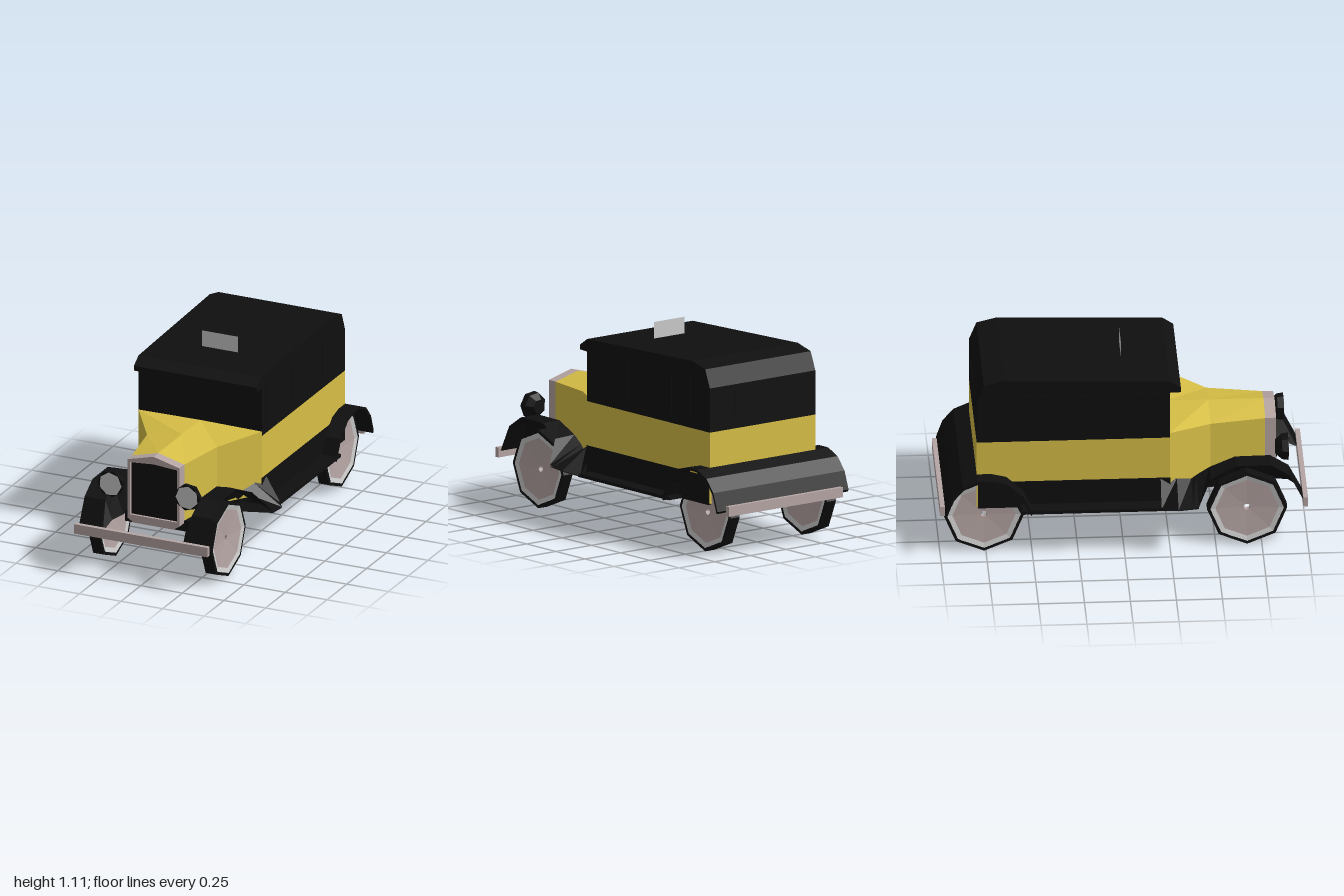
import * as THREE from 'three';

const paint = (color) => new THREE.MeshStandardMaterial({ color, flatShading: true, side: THREE.DoubleSide });
const yellow = paint(0xd6be46), black = paint(0x0f0f0f), metal = paint(0xb5a5a3), grey = paint(0xcccccc);

// Flat panels strung between cross-sections that share a point count
function loft(sections) {
  const pos = [];
  for (let i = 0; i < sections.length - 1; i++) {
    const a = sections[i], b = sections[i + 1];
    for (let j = 0; j < a.length - 1; j++) {
      pos.push(...a[j], ...b[j], ...b[j + 1], ...a[j], ...b[j + 1], ...a[j + 1]);
    }
  }
  const g = new THREE.BufferGeometry();
  g.setAttribute('position', new THREE.Float32BufferAttribute(pos, 3));
  g.computeVertexNormals();
  return g;
}

// Side profile given as [z, y], extruded across the full width
function crossExtrude(points, halfWidth) {
  const shape = new THREE.Shape(points.map(([z, y]) => new THREE.Vector2(-z, y)));
  const g = new THREE.ExtrudeGeometry(shape, { depth: halfWidth * 2, bevelEnabled: false });
  return g.translate(0, 0, -halfWidth).rotateY(Math.PI / 2);
}

export function createModel() {
  const car = new THREE.Group();
  car.name = 'vintageCar';
  const add = (name, geometry, material, parent = car) => {
    const m = new THREE.Mesh(geometry, material);
    m.name = name;
    parent.add(m);
    return m;
  };
  // Box from its minimum and maximum corners
  const box = (name, material, [x0, y0, z0], [x1, y1, z1]) =>
    add(name, new THREE.BoxGeometry(x1 - x0, y1 - y0, z1 - z0), material)
      .position.set((x0 + x1) / 2, (y0 + y1) / 2, (z0 + z1) / 2);

  // Body tub, lower sills and floor
  box('bodyTub', yellow, [-0.37, 0.27, -0.8], [0.37, 0.665, 0.25]);
  box('sills', black, [-0.373, 0.262, -0.792], [0.373, 0.42, 0.252]);
  box('runningBoards', black, [-0.46, 0.262, -0.56], [0.46, 0.28, 0.22]);
  box('frontChassis', black, [-0.2, 0.265, 0.24], [0.2, 0.328, 0.78]);

  // Cabin top with sloped roof, rounded tail and short visor
  add('cabin', crossExtrude([[0.25, 0.665], [0.25, 0.94], [0.31, 0.942], [0.31, 0.97], [0.25, 1.01],
    [-0.65, 1.038], [-0.76, 1.01], [-0.8, 0.91], [-0.8, 0.665]], 0.37), black);
  for (const s of [-1, 1]) {
    for (const [z0, z1] of [[-0.1, 0.2], [-0.47, -0.14], [-0.64, -0.51]]) {
      const x = s * 0.371;
      box('sideWindow', black, [x - 0.002, 0.72, z0], [x + 0.002, 0.94, z1]);
    }
  }
  box('rearWindow', black, [-0.2, 0.74, -0.803], [0.2, 0.87, -0.799]);

  // Cowl and hood: ridge along the middle, tapering to the radiator
  add('hood', loft([[0.25, 0.37, 0.692], [0.48, 0.21, 0.657], [0.78, 0.157, 0.655]].map(([z, w, y]) =>
    [[-w, 0.325, z], [-w, y, z], [0, 0.696, z], [w, y, z], [w, 0.325, z]])), yellow);

  // Radiator shell and grille
  const shape = (pts) => pts.map(([x, y]) => new THREE.Vector2(x, y));
  const shell = new THREE.Shape(shape([[-0.12, 0.29], [0.12, 0.29], [0.155, 0.312], [0.155, 0.655],
    [0, 0.696], [-0.155, 0.655], [-0.155, 0.312]]));
  const opening = shape([[-0.14, 0.335], [-0.14, 0.64], [0, 0.651], [0.14, 0.64], [0.14, 0.335]]);
  shell.holes.push(new THREE.Path(opening));
  add('radiatorShell', new THREE.ExtrudeGeometry(shell, { depth: 0.07, bevelEnabled: false }), metal).position.z = 0.77;
  add('grille', new THREE.ShapeGeometry(new THREE.Shape(opening)), black).position.z = 0.825;

  // Front fenders: inner skirt, top inner edge, top outer edge at each station
  const fender = [
    [0.975, [0.24, 0.265], [0.25, 0.268], [0.385, 0.268]],
    [0.9, [0.22, 0.31], [0.26, 0.42], [0.385, 0.42]],
    [0.8, [0.2, 0.31], [0.265, 0.485], [0.385, 0.485]],
    [0.61, [0.2, 0.31], [0.27, 0.485], [0.385, 0.485]],
    [0.47, [0.21, 0.31], [0.28, 0.43], [0.415, 0.425]],
    [0.4, [0.25, 0.3], [0.29, 0.39], [0.51, 0.305]],
    [0.37, [0.28, 0.3], [0.3, 0.372], [0.51, 0.3]],
    [0.29, [0.33, 0.3], [0.345, 0.4], [0.51, 0.29]],
    [0.2, [0.37, 0.3], [0.37, 0.42], [0.46, 0.27]],
  ];
  for (const s of [-1, 1]) {
    add('frontFender', loft(fender.map(([z, ...pts]) => pts.map(([x, y]) => [s * x, y, z]))), black);
    // Flat underside of the flare, joining it to the running board
    add('fenderFoot', loft([
      [[s * 0.2, 0.27, 0.44], [s * 0.51, 0.295, 0.4]],
      [[s * 0.2, 0.265, 0.29], [s * 0.51, 0.285, 0.29]],
      [[s * 0.2, 0.263, 0.2], [s * 0.46, 0.265, 0.2]],
    ]), black);
  }

  // Rear fender sheet: arches over both wheels and sweeps down behind the body
  const arch = [[-0.5, 0.265], [-0.55, 0.37], [-0.64, 0.45], [-0.72, 0.47], [-0.8, 0.47],
    [-0.88, 0.435], [-0.94, 0.365], [-0.975, 0.265]];
  const inner = arch.map(([z, y]) => [z + (z < -0.76 ? 0.008 : -0.008), y - 0.012]).reverse();
  add('rearFender', crossExtrude([...arch, ...inner], 0.46), black);

  // Bumpers
  box('frontBumper', metal, [-0.4, 0.235, 0.974], [0.4, 0.29, 1]);
  box('rearBumper', metal, [-0.4, 0.235, -1], [0.4, 0.29, -0.974]);

  // Eight-sided wheels with rims, dished discs and an open hub
  const ring = (pts) => new THREE.LatheGeometry(pts.map(([r, x]) => new THREE.Vector2(r, x)), 8).rotateZ(Math.PI / 2);
  for (const s of [-1, 1]) {
    for (const z of [0.67, -0.76]) {
      const wheel = new THREE.Group();
      wheel.name = z > 0 ? 'frontWheel' : 'rearWheel';
      wheel.position.set(s * 0.338, 0.218, z);
      add('tire', ring([[0.2, -0.033], [0.218, -0.032], [0.218, 0.032], [0.2, 0.033]]), black, wheel);
      for (const f of [-1, 1]) {
        add('rim', ring([[0.201, f * 0.033], [0.172, f * 0.026]]), grey, wheel);
        add('disc', ring([[0.172, f * 0.026], [0.018, f * 0.014]]), metal, wheel);
      }
      add('hub', ring([[0.018, -0.014], [0.018, 0.014]]), metal, wheel);
      car.add(wheel);
    }

    // Seven-sided headlights
    const lamp = new THREE.Group();
    lamp.name = 'headlight';
    lamp.position.set(s * 0.23, 0.518, 0.867);
    lamp.rotation.z = s * -0.15;
    add('lampShell', new THREE.CylinderGeometry(0.077, 0.072, 0.035, 7).rotateX(Math.PI / 2), black, lamp).position.z = 0.016;
    add('lampBack', new THREE.CylinderGeometry(0.072, 0.04, 0.035, 7).rotateX(Math.PI / 2), black, lamp).position.z = -0.019;
    add('lens', new THREE.CircleGeometry(0.068, 7).rotateZ(Math.PI / 2 * -1), grey, lamp).position.z = 0.035;
    lamp.children[2].rotation.z = Math.PI;
    car.add(lamp);
  }

  // Thin roof sign
  add('roofSign', new THREE.PlaneGeometry(0.214, 0.092), grey).position.set(0, 1.064, 0);

  return car;
}
